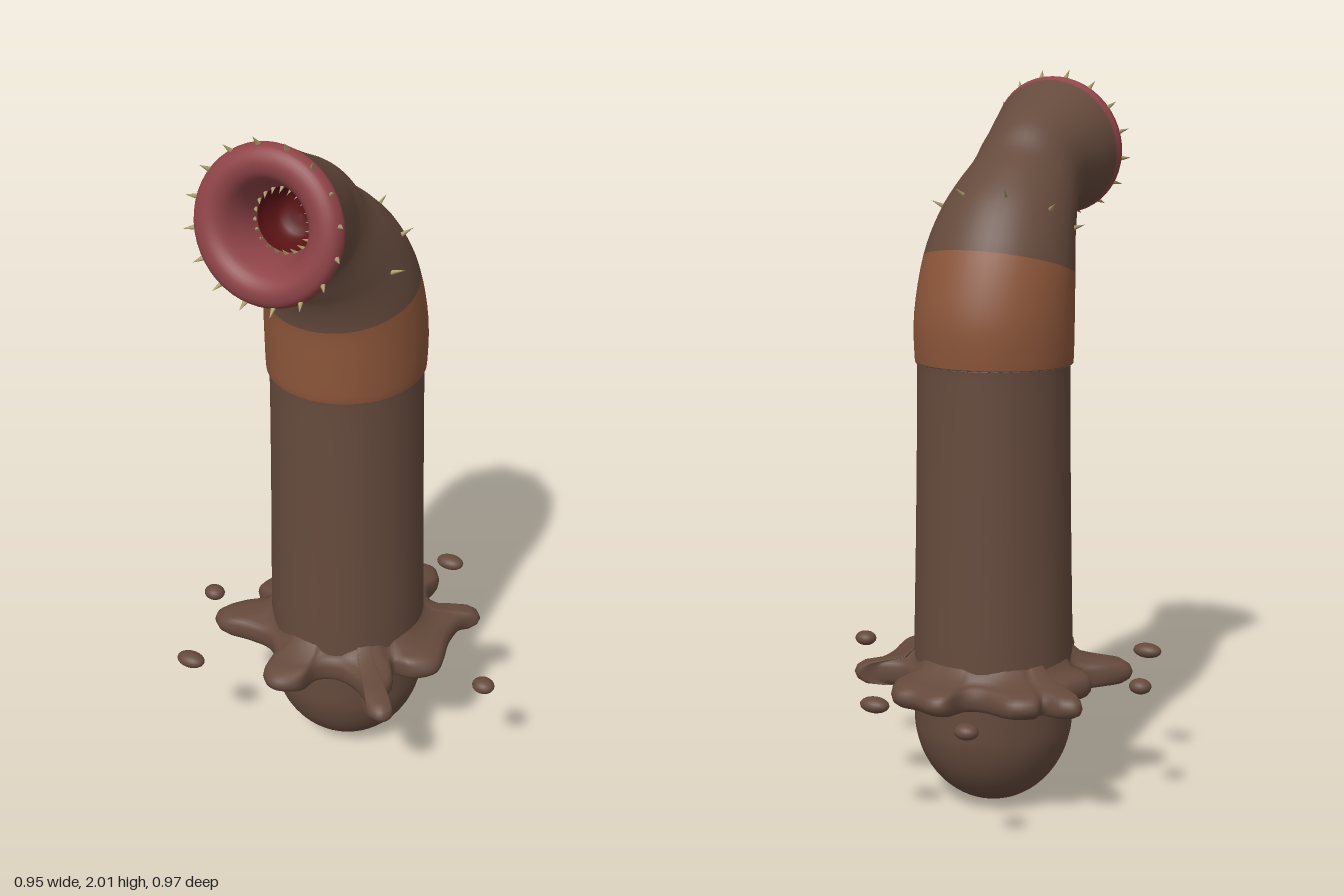
import * as THREE from 'three';

const CX = -0.03; // the body's axis in x

function mat(name, color, extra = {}) {
  const m = new THREE.MeshStandardMaterial({ color, ...extra });
  m.name = name;
  return m;
}

// Smooth skin over closed rings of points; colourOf(i) picks the material of strip i
function skin(rings, colourOf = () => 0) {
  const n = rings[0].length, pos = [], index = [];
  const g = new THREE.BufferGeometry();
  rings.forEach(r => r.forEach(p => pos.push(p.x, p.y, p.z)));
  for (let i = 0; i < rings.length - 1; i++) {
    g.addGroup(index.length, n * 6, colourOf(i));
    for (let j = 0; j < n; j++) {
      const a = i * n + j, b = i * n + (j + 1) % n;
      index.push(a, a + n, b, b, a + n, b + n);
    }
  }
  g.setAttribute('position', new THREE.Float32BufferAttribute(pos, 3));
  g.setIndex(index);
  g.computeVertexNormals();
  return g;
}

// Point on a tilted ring given half width w, front (zf, yf) and back (zb, yb); angle 0 is the back
function ringPoint([w, zf, yf, zb, yb], a) {
  const c = Math.cos(a);
  return new THREE.Vector3(
    CX + Math.sin(a) * w,
    (yf + yb) / 2 + c * (yb - yf) / 2,
    (zf + zb) / 2 + c * (zb - zf) / 2);
}

// Mouth frame: a disc tilted slightly upward
const MOUTH = { y: 1.8, z: 0.38, ny: 0.22, nz: 0.975 };
function mouthRing(r, s) {
  const { y, z, ny, nz } = MOUTH;
  const cy = y + ny * s, cz = z + nz * s;
  return [r, cz + ny * r, cy - nz * r, cz - ny * r, cy + nz * r];
}

export function createModel() {
  const skinBrown = mat('skin brown', 0x654a3c);
  const bandBrown = mat('band orange brown', 0x8b5539);
  const lipRed = mat('lip red', 0x8e4347);
  const throatRed = mat('throat dark red', 0x5a1214);
  const toothBone = mat('tooth bone', 0xaa9c6c);

  const model = new THREE.Group();
  model.name = 'burrowingWorm';
  const add = (parent, geometry, material, name) => {
    const m = new THREE.Mesh(geometry, material);
    m.name = name;
    parent.add(m);
    return m;
  };

  // Body: rounded tail, trunk, band, bent neck, lip and throat in one skin
  const keys = [];
  for (let i = 0; i <= 6; i++) {
    const a = i / 6 * Math.PI / 2, r = 0.221 * Math.sin(a), y = 0.25 - 0.25 * Math.cos(a);
    keys.push([r, r, y, -r, y]);
  }
  for (const [r, y] of [[0.221, 0.42], [0.213, 0.8], [0.207, 1.22]]) keys.push([r, r, y, -r, y]);
  const bandStart = keys.length;
  keys.push([0.214, 0.217, 1.235, -0.212, 1.245], [0.216, 0.219, 1.34, -0.212, 1.38]);
  const bandEnd = keys.length;
  keys.push(
    [0.208, 0.22, 1.44, -0.158, 1.55],
    [0.19, 0.24, 1.515, -0.085, 1.67],
    [0.172, 0.265, 1.56, 0, 1.75],
    [0.156, 0.288, 1.597, 0.08, 1.808],
    [0.149, 0.312, 1.618, 0.128, 1.86],
    [0.153, 0.35, 1.622, 0.175, 1.895],
    [0.174, 0.39, 1.612, 0.25, 1.935]);
  const lipStart = keys.length;
  for (const [r, s] of [[0.19, 0], [0.196, 0.02], [0.184, 0.045], [0.15, 0.055],
    [0.115, 0.035], [0.09, -0.02], [0.079, -0.07]]) keys.push(mouthRing(r, s));
  const throatStart = keys.length;
  for (const [r, s] of [[0.073, -0.1], [0.05, -0.14], [0, -0.15]]) keys.push(mouthRing(r, s));

  const STEPS = 4, SIDES = 48;
  const fronts = new THREE.CatmullRomCurve3(keys.map(k => new THREE.Vector3(k[0], k[1], k[2])), false, 'catmullrom');
  const backs = new THREE.CatmullRomCurve3(keys.map(k => new THREE.Vector3(0, k[3], k[4])), false, 'catmullrom');
  const rings = [];
  const last = (keys.length - 1) * STEPS;
  for (let i = 0; i <= last; i++) {
    const f = fronts.getPoint(i / last), b = backs.getPoint(i / last);
    const key = [f.x, f.y, f.z, b.y, b.z];
    rings.push(Array.from({ length: SIDES }, (_, j) => ringPoint(key, j / SIDES * Math.PI * 2)));
  }
  const colourOf = i => {
    const k = i / STEPS;
    if (k >= throatStart - 1) return 3;
    if (k >= lipStart) return 2;
    return k >= bandStart && k < bandEnd ? 1 : 0;
  };
  add(model, skin(rings, colourOf), [skinBrown, bandBrown, lipRed, throatRed], 'body');

  // Mud splash: irregular outline (x, z) swept from under the collar over its rim to the top
  const outline = [
    [-0.02, -0.355], [0.04, -0.335], [0.1, -0.33], [0.135, -0.28], [0.13, -0.22], [0.165, -0.165],
    [0.24, -0.17], [0.29, -0.2], [0.315, -0.17], [0.28, -0.13], [0.275, -0.05], [0.3, 0.08],
    [0.25, 0.13], [0.185, 0.14], [0.215, 0.21], [0.21, 0.285], [0.265, 0.31], [0.25, 0.35],
    [0.2, 0.34], [0.17, 0.29], [0.12, 0.25], [0.05, 0.23], [0, 0.26], [-0.02, 0.33],
    [-0.08, 0.36], [-0.13, 0.33], [-0.14, 0.25], [-0.19, 0.195], [-0.27, 0.19], [-0.35, 0.195],
    [-0.385, 0.15], [-0.34, 0.09], [-0.28, 0.04], [-0.33, 0], [-0.31, -0.07], [-0.265, -0.145],
    [-0.3, -0.17], [-0.37, -0.165], [-0.38, -0.2], [-0.34, -0.215], [-0.285, -0.21],
    [-0.28, -0.25], [-0.22, -0.28], [-0.13, -0.26], [-0.08, -0.28], [-0.06, -0.34]];
  const rim = new THREE.CatmullRomCurve3(
    outline.map(([x, z]) => new THREE.Vector3(x, 0, z)), true, 'catmullrom').getPoints(230).slice(0, -1);
  const profile = [[0, 0.31], [0.2, 0.33], [0.6, 0.332], [0.85, 0.338], [0.96, 0.35], [1, 0.367],
    [0.96, 0.384], [0.85, 0.396], [0.6, 0.403], [0.25, 0.41], [0, 0.445]];
  const splashRings = profile.map(([t, y]) => rim.map(p => {
    const a = Math.atan2(p.z, p.x - CX);
    const inner = new THREE.Vector3(CX + 0.212 * Math.cos(a), 0, 0.212 * Math.sin(a));
    return inner.lerp(p, t).setY(y);
  }));
  add(model, skin(splashRings), skinBrown, 'mudSplash');

  // Loose mud drops
  const drops = new THREE.Group();
  drops.name = 'mudDrops';
  model.add(drops);
  for (const [x, z, rx, rz] of [[-0.185, -0.46, 0.033, 0.027], [0.122, -0.395, 0.042, 0.028],
    [-0.447, 0.06, 0.031, 0.028], [0.44, 0.092, 0.032, 0.028], [-0.348, 0.36, 0.042, 0.028]]) {
    const d = add(drops, new THREE.SphereGeometry(1, 20, 14), skinBrown, 'mudDrop');
    d.scale.set(rx, 0.021, rz);
    d.position.set(x, 0.366, z);
  }

  // Teeth and spines: small cones with their base on the skin
  const cone = (length, radius) => new THREE.ConeGeometry(radius, length, 8).translate(0, length * 0.4, 0);
  const UP = new THREE.Vector3(0, 1, 0);
  const forward = new THREE.Vector3(0, MOUTH.ny, MOUTH.nz);
  function circleOfTeeth(name, count, radius, s, geometry, radial, axial) {
    const group = new THREE.Group();
    group.name = name;
    model.add(group);
    const key = mouthRing(radius, s), centre = ringPoint(mouthRing(0, s), 0);
    for (let i = 0; i < count; i++) {
      const p = ringPoint(key, (i + 0.5) / count * Math.PI * 2);
      const dir = p.clone().sub(centre).normalize().multiplyScalar(radial).addScaledVector(forward, axial);
      const tooth = add(group, geometry, toothBone, 'tooth');
      tooth.position.copy(p);
      tooth.quaternion.setFromUnitVectors(UP, dir.normalize());
    }
  }
  circleOfTeeth('outerTeeth', 16, 0.19, 0.03, cone(0.036, 0.008), 0.65, 0.75);
  circleOfTeeth('innerTeeth', 20, 0.081, -0.06, cone(0.028, 0.006), -0.6, 0.8);

  // Spines across the back of the neck
  const spines = new THREE.Group();
  spines.name = 'neckSpines';
  model.add(spines);
  const neck = [0.186, 0.245, 1.526, -0.064, 1.69], neckCentre = ringPoint([0, 0.09, 1.608, 0.09, 1.608], 0);
  for (const side of [-1, 1]) for (const degrees of [20, 59, 98]) {
    const p = ringPoint(neck, side * degrees * Math.PI / 180);
    const dir = p.clone().sub(neckCentre).normalize().add(new THREE.Vector3(0, 0.35, -0.3)).normalize();
    const spine = add(spines, cone(0.04, 0.007), toothBone, 'spine');
    spine.position.copy(p);
    spine.quaternion.setFromUnitVectors(UP, dir);
  }
  return model;
}
